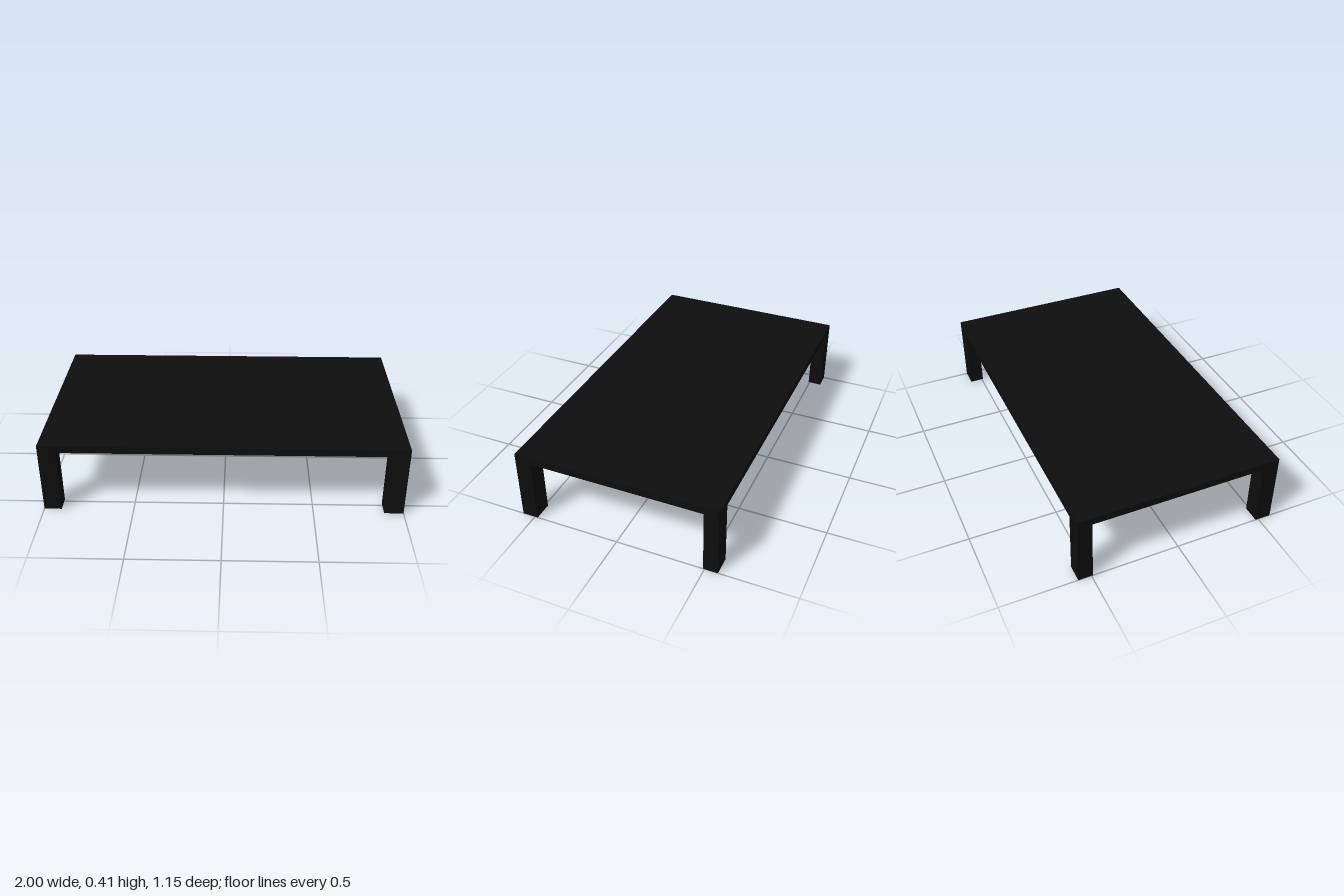
import * as THREE from 'three';

const HALF_X = 1, HALF_Z = 0.573;
const HEIGHT = 0.41, UNDERSIDE = 0.368;

export function createModel() {
  const table = new THREE.Group();
  table.name = 'lowTable';
  const material = new THREE.MeshStandardMaterial({ color: 0x0d0d0d });

  function addBox(name, w, h, d, x, y, z) {
    const mesh = new THREE.Mesh(new THREE.BoxGeometry(w, h, d), material);
    mesh.name = name;
    mesh.position.set(x, y, z);
    table.add(mesh);
  }

  // Flat slab top
  addBox('tableTop', 2 * HALF_X, HEIGHT - UNDERSIDE, 2 * HALF_Z, 0, (HEIGHT + UNDERSIDE) / 2, 0);

  // Square legs flush with the corners, slightly different in thickness per side
  const sidesX = [{ label: 'Left', sign: 1, w: 0.107 }, { label: 'Right', sign: -1, w: 0.097 }];
  const sidesZ = [{ label: 'front', sign: 1, d: 0.09 }, { label: 'back', sign: -1, d: 0.081 }];
  for (const sx of sidesX) {
    for (const sz of sidesZ) {
      addBox(`${sz.label}${sx.label}Leg`, sx.w, UNDERSIDE, sz.d,
        sx.sign * (HALF_X - sx.w / 2), UNDERSIDE / 2, sz.sign * (HALF_Z - sz.d / 2));
    }
  }
  return table;
}
